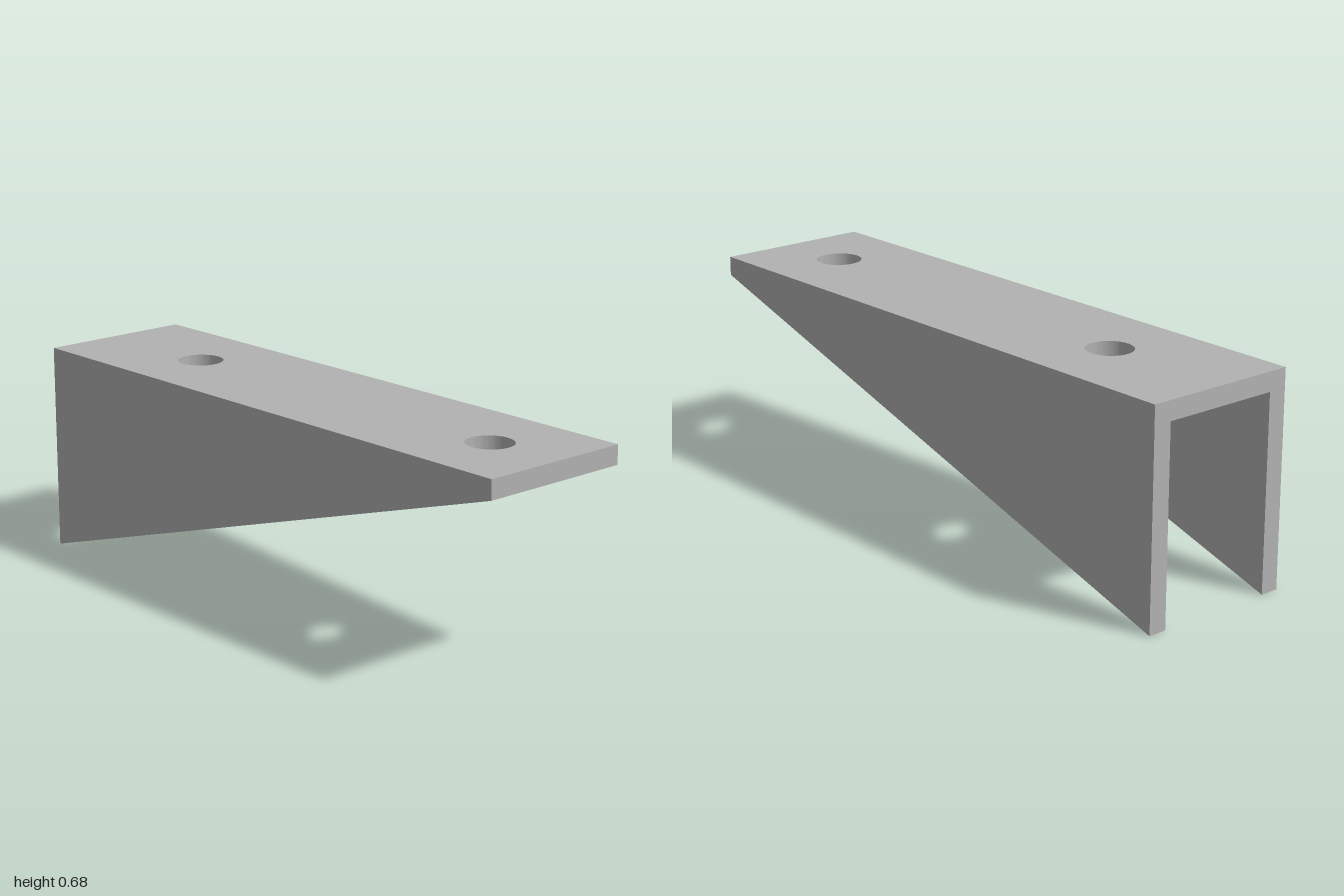
import * as THREE from 'three';
import { toCreasedNormals } from 'three/addons/utils/BufferGeometryUtils.js';

const HEIGHT = 0.678, THICK = 0.061, HALF_WIDTH = 0.256;
const PLATE_BOTTOM = HEIGHT - THICK;

export function createModel() {
  const group = new THREE.Group();
  group.name = 'taperedBracket';
  const grey = new THREE.MeshStandardMaterial({ name: 'plain grey', color: 0xb2b2b2 });

  const extrude = (shape) =>
    new THREE.ExtrudeGeometry(shape, { depth: THICK, bevelEnabled: false, curveSegments: 32 });

  // Top plate with two round screw holes
  const plate = new THREE.Shape([
    new THREE.Vector2(-1, -HALF_WIDTH), new THREE.Vector2(1, -HALF_WIDTH),
    new THREE.Vector2(1, HALF_WIDTH), new THREE.Vector2(-1, HALF_WIDTH),
  ]);
  for (const x of [-0.55, 0.745]) {
    plate.holes.push(new THREE.Path().absarc(x, 0, 0.073, 0, Math.PI * 2, true));
  }
  const plateGeometry = toCreasedNormals(extrude(plate).rotateX(-Math.PI / 2), 0.6);
  const topPlate = new THREE.Mesh(plateGeometry, grey);
  topPlate.name = 'topPlate';
  topPlate.position.y = PLATE_BOTTOM;
  group.add(topPlate);

  // Triangular side walls, front and back
  const wallGeometry = extrude(new THREE.Shape([
    new THREE.Vector2(-1, 0), new THREE.Vector2(1, PLATE_BOTTOM), new THREE.Vector2(-1, PLATE_BOTTOM),
  ]));
  for (const [name, z] of [['frontWall', HALF_WIDTH - THICK], ['backWall', -HALF_WIDTH]]) {
    const wall = new THREE.Mesh(wallGeometry, grey);
    wall.name = name;
    wall.position.z = z;
    group.add(wall);
  }
  return group;
}
